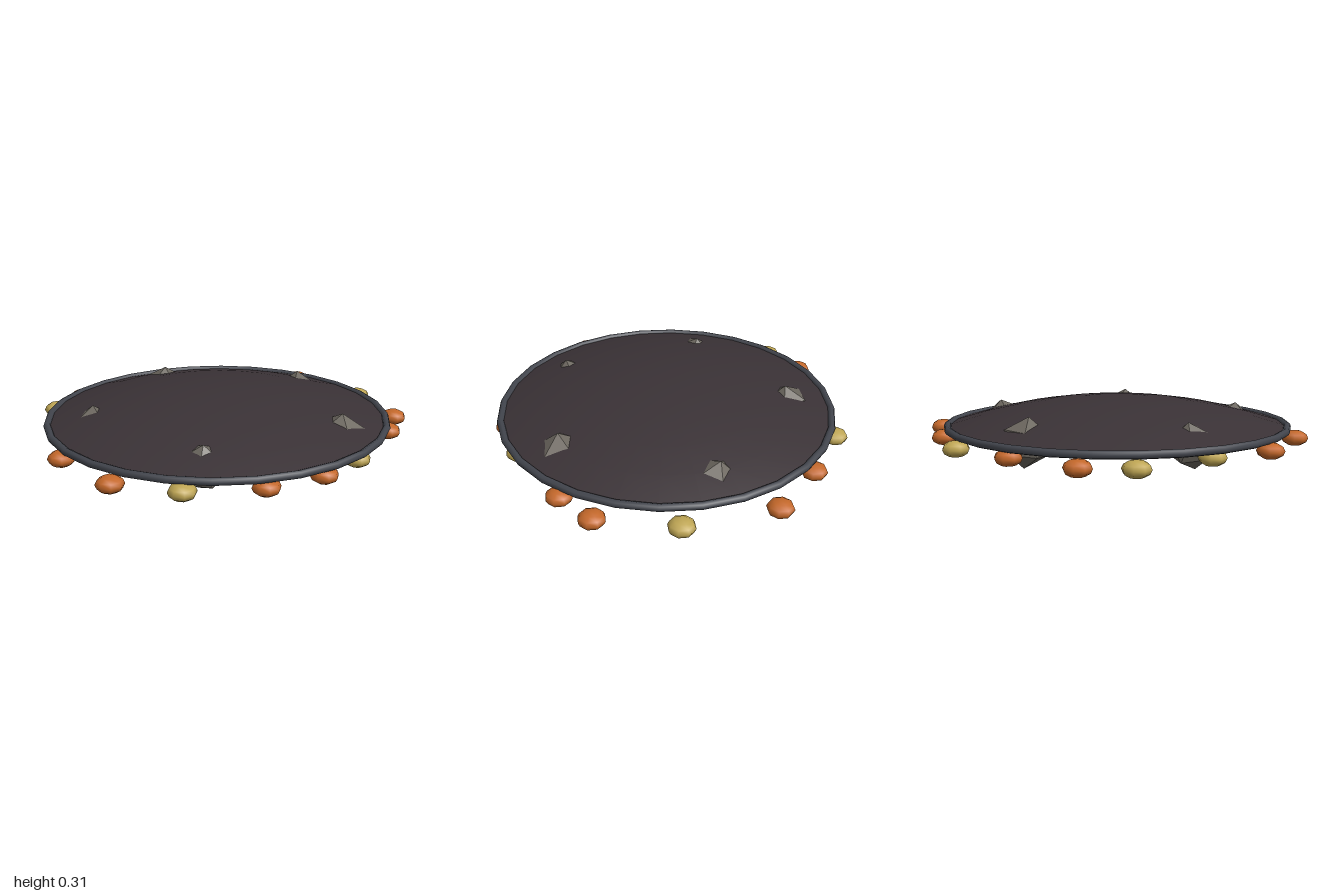
import * as THREE from 'three';

const CX = -0.06, CZ = 0.025, BASE = 0.17, RADIUS = 0.915, SIDES = 28;

function mat(color, options = {}) {
  return new THREE.MeshStandardMaterial({ color, ...options });
}

export function createModel() {
  const model = new THREE.Group();
  const add = (name, geometry, material, x, y, z) => {
    const mesh = new THREE.Mesh(geometry, material);
    mesh.name = name;
    mesh.position.set(x, y, z);
    model.add(mesh);
    return mesh;
  };

  // Shallow domed shell: a spherical cap
  const height = 0.145;
  const sphereR = (RADIUS ** 2 + height ** 2) / (2 * height);
  const capAngle = Math.asin(RADIUS / sphereR);
  const cap = new THREE.SphereGeometry(sphereR, SIDES, 5, 0, Math.PI * 2, 0, capAngle);
  cap.translate(0, height - sphereR, 0);
  add('dome', cap, mat(0x3a3236), CX, BASE, CZ);

  // Dark flat underside
  const disc = new THREE.CircleGeometry(RADIUS, SIDES).rotateX(Math.PI / 2);
  add('underside', disc, mat(0x1a181c), CX, BASE, CZ);

  // Rim
  const rim = new THREE.TorusGeometry(RADIUS, 0.02, 8, SIDES).rotateX(Math.PI / 2);
  add('rim', rim, mat(0x42454d), CX, BASE, CZ);

  // Five faceted rocks embedded in the shell: x, y, z, radius, turn, tilt
  const rockMat = mat(0x6b665e, { flatShading: true });
  const rocks = [
    [0.51, 0.14, 0.43, 0.135, 0.3, 0.1],
    [0.52, 0.137, -0.38, 0.128, 1.1, -0.2],
    [-0.26, 0.15, -0.62, 0.128, 0.7, 0.12],
    [-0.73, 0.147, 0.03, 0.118, 1.9, -0.18],
    [-0.26, 0.14, 0.67, 0.122, 2.5, 0.2],
  ];
  // Turn an icosahedron so that one corner points straight up
  const cornerUp = Math.atan(2 / (1 + Math.sqrt(5)));
  for (const [x, y, z, r, turn, tilt] of rocks) {
    const rock = new THREE.IcosahedronGeometry(r, 0);
    rock.rotateZ(cornerUp).rotateY(turn).rotateX(tilt);
    add('rock', rock, rockMat, x, y, z);
  }

  // Flattened beads under the rim, every third one yellow
  const bead = new THREE.SphereGeometry(0.07, 8, 6).scale(1, 0.6, 1);
  const orange = mat(0xc4682a), yellow = mat(0xbfa654);
  const beads = [
    [-0.89, 0.03], [-0.91, 0.37], [-0.7, 0.73],
    [-0.39, 0.88], [-0.01, 0.91], [0.29, 0.83],
    [0.51, 0.67], [0.81, 0.33], [0.93, 0.12],
    [0.875, -0.3], [0.62, -0.72], [0.28, -0.84],
    [-0.07, -0.91], [-0.4, -0.78], [-0.77, -0.62],
    [-0.92, -0.41],
  ];
  beads.forEach(([x, z], i) => add('bead', bead, i % 3 === 0 ? yellow : orange, x, 0.118, z));

  return model;
}
